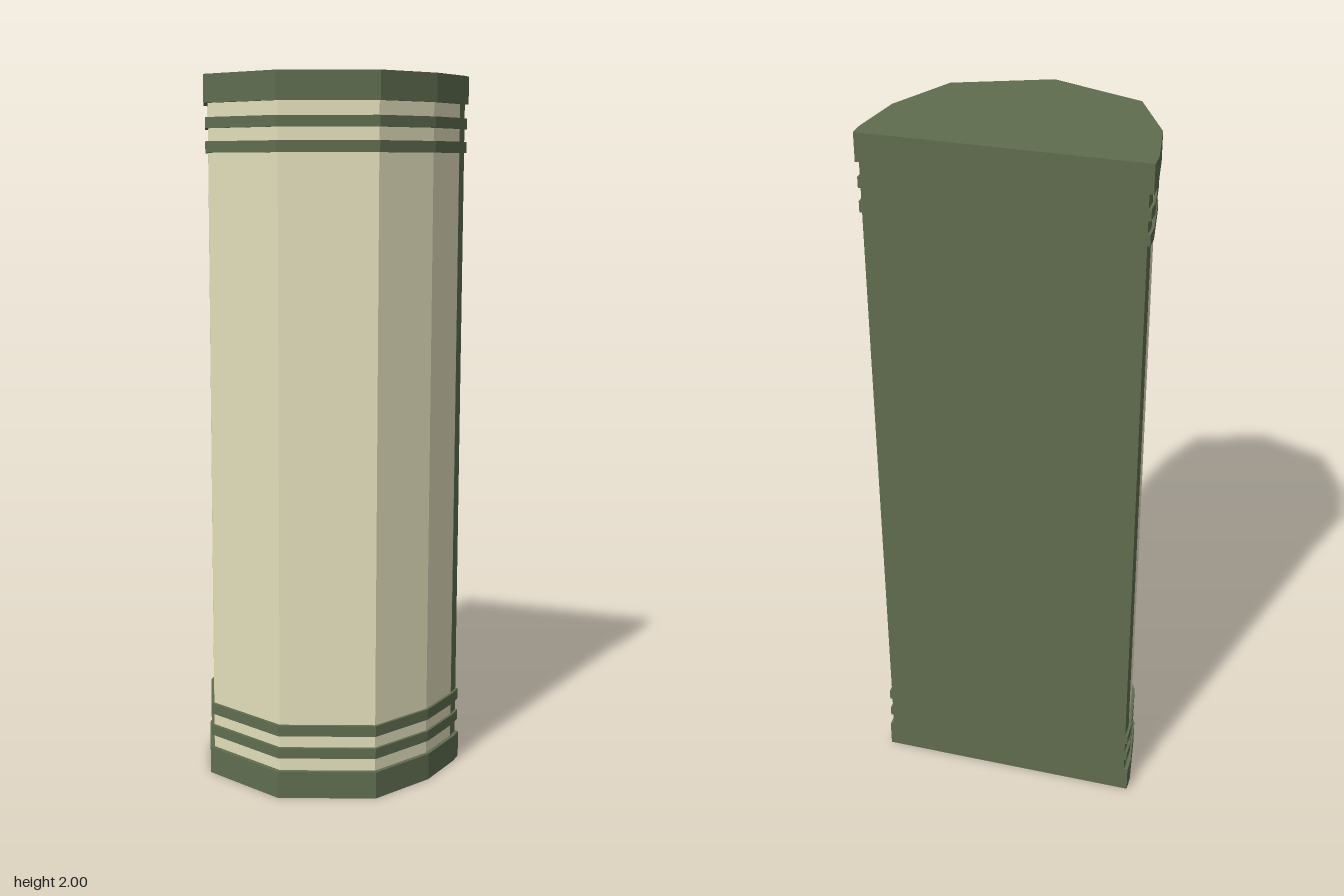
import * as THREE from 'three';

// Right half of the faceted plan, from the back corner round to the front ridge: [x, z]
const HALF = [[0.375, -0.25], [0.375, -0.205], [0.35, -0.04], [0.257, 0.15], [0, 0.25]];
const BACK = -0.25;

// Closed plan outline, shrunk towards the middle of the back face
function plan(scale, half = HALF) {
  const right = half.map(([x, z]) => [x * scale, BACK + (z - BACK) * scale]);
  const left = right.filter(([x]) => x > 0).map(([x, z]) => [-x, z]).reverse();
  return new THREE.Shape([...right, ...left].map(([x, z]) => new THREE.Vector2(x, -z)));
}

// Upright prism between two heights
function prism(name, shape, y0, y1, material) {
  const geometry = new THREE.ExtrudeGeometry(shape, { depth: y1 - y0, bevelEnabled: false });
  geometry.rotateX(-Math.PI / 2);
  geometry.translate(0, y0, 0);
  const mesh = new THREE.Mesh(geometry, material);
  mesh.name = name;
  return mesh;
}

export function createModel() {
  const group = new THREE.Group();
  group.name = 'wallLamp';
  const metal = new THREE.MeshStandardMaterial({ color: 0x5f6d4f, flatShading: true });
  const glass = new THREE.MeshStandardMaterial({ color: 0xe3dfbc, flatShading: true });

  // Pale faceted shade, in front of the back plate
  const shadeHalf = HALF.slice(1);
  group.add(prism('shade', plan(0.97, shadeHalf), 0.06, 1.94, glass));

  // Flat back plate
  const plate = new THREE.Mesh(new THREE.BoxGeometry(0.728, 1.98, 0.045), metal);
  plate.name = 'backPlate';
  plate.position.set(0, 1, BACK + 0.0225);
  group.add(plate);

  // End caps and thin bands, mirrored top and bottom
  const rings = [['Cap', 0, 0.077, 1], ['OuterBand', 0.115, 0.145, 0.99], ['InnerBand', 0.18, 0.211, 0.99]];
  for (const [name, y0, y1, scale] of rings) {
    group.add(prism('bottom' + name, plan(scale), y0, y1, metal));
    group.add(prism('top' + name, plan(scale), 2 - y1, 2 - y0, metal));
  }
  return group;
}
